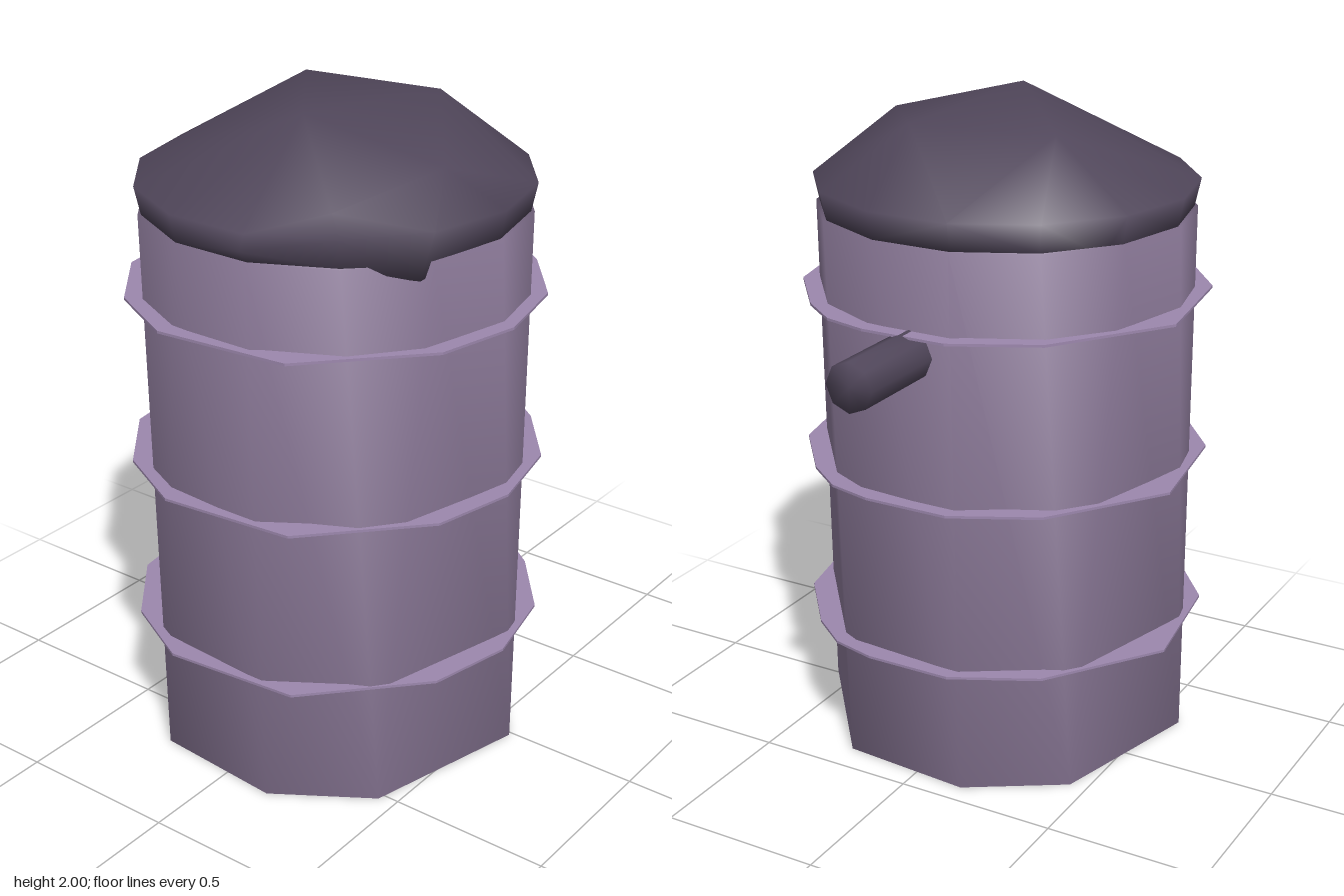
import * as THREE from 'three';
import { mergeVertices } from 'three/addons/utils/BufferGeometryUtils.js';
import { ConvexGeometry } from 'three/addons/geometries/ConvexGeometry.js';

const CX = -0.135, R = 0.575, SIDES = 14, TOP = 1.68;
const rad = THREE.MathUtils.degToRad;

const material = (name, color) => {
  const m = new THREE.MeshStandardMaterial({ color });
  m.name = name;
  return m;
};

// Weld everything so the light rolls softly over the edges
function smooth(geometry) {
  geometry.deleteAttribute('uv');
  geometry.deleteAttribute('normal');
  const g = mergeVertices(geometry, 1e-3);
  g.computeVertexNormals();
  return g;
}

// Fourteen sides at the top, gathered into eight uneven corners at the foot
function bodyGeometry() {
  const g = new THREE.LatheGeometry(
    [[0, 0], [R, 0], [R, TOP], [0, TOP]].map(p => new THREE.Vector2(...p)), SIDES);
  const corners = [-41, 12, 65, 106, 139, 192, 245, 286].map(rad);
  const p = g.attributes.position;
  for (let i = 0; i < p.count; i++) {
    const x = p.getX(i), z = p.getZ(i);
    if (p.getY(i) > 0.01 || Math.hypot(x, z) < 0.01) continue;
    const closeness = a => x * Math.sin(a) + z * Math.cos(a);
    const a = corners.reduce((best, c) => closeness(c) > closeness(best) ? c : best);
    p.setXYZ(i, Math.sin(a) * 0.59, 0, Math.cos(a) * 0.59);
  }
  return smooth(g);
}

// Lump of a lid: two rim loops, a few peaks and two low corners
function lidGeometry() {
  const points = [
    [-0.37, 2.0, 0.07], [0.17, 1.96, 0.15], [0.1, 1.96, -0.29],
    [-0.27, 1.9, 0.47], [-0.58, 1.83, 0.33],
    [-0.42, 1.63, 0.5], [0.15, 1.65, -0.47],
  ].map(p => new THREE.Vector3(...p));
  for (let i = 0; i < SIDES; i++) {
    const a = i / SIDES * Math.PI * 2, s = Math.sin(a), c = Math.cos(a);
    points.push(new THREE.Vector3(CX + s * 0.583, 1.765, c * 0.583));
    points.push(new THREE.Vector3(CX + s * 0.565, 1.68, c * 0.565));
  }
  // Bulge on the right edge
  points.push(new THREE.Vector3(-0.72, 1.72, 0.13));
  return smooth(new ConvexGeometry(points));
}

// Thin plate with uneven corners: angle from the front, then radius
function hoopGeometry() {
  const outline = [
    [0, 0.62], [26, 0.622], [51, 0.62], [65, 0.635], [78, 0.624], [103, 0.626], [129, 0.62],
    [168, 0.644], [205, 0.628], [231, 0.625], [256, 0.63], [295, 0.635], [335, 0.62],
  ].map(([a, r]) => new THREE.Vector2(Math.sin(rad(a)) * r, -Math.cos(rad(a)) * r));
  const g = new THREE.ExtrudeGeometry(new THREE.Shape(outline), { depth: 0.008, bevelEnabled: false });
  return g.translate(0, 0, -0.004).rotateX(-Math.PI / 2);
}

export function createModel() {
  const group = new THREE.Group();
  const bodyMat = material('dusty purple', 0x8b7998);
  const hoopMat = material('pale purple', 0x9c87ad);
  const darkMat = material('dark purple', 0x51475b);

  const add = (name, geometry, mat, x, y, z) => {
    const mesh = new THREE.Mesh(geometry, mat);
    mesh.name = name;
    mesh.position.set(x, y, z);
    group.add(mesh);
    return mesh;
  };

  add('body', bodyGeometry(), bodyMat, CX, 0, 0);
  add('lid', lidGeometry(), darkMat, 0, 0, 0);

  // Hoops around the body
  const hoop = hoopGeometry();
  [0.39, 0.91, 1.43].forEach((y, i) => add('hoop' + (i + 1), hoop, hoopMat, CX, y, 0));

  // Stub pipe on the left side
  const pipe = add('pipe', smooth(new THREE.CylinderGeometry(0.075, 0.075, 0.4, 8)), darkMat, 0.54, 1.362, 0);
  pipe.rotation.z = -Math.PI / 2;

  return group;
}
